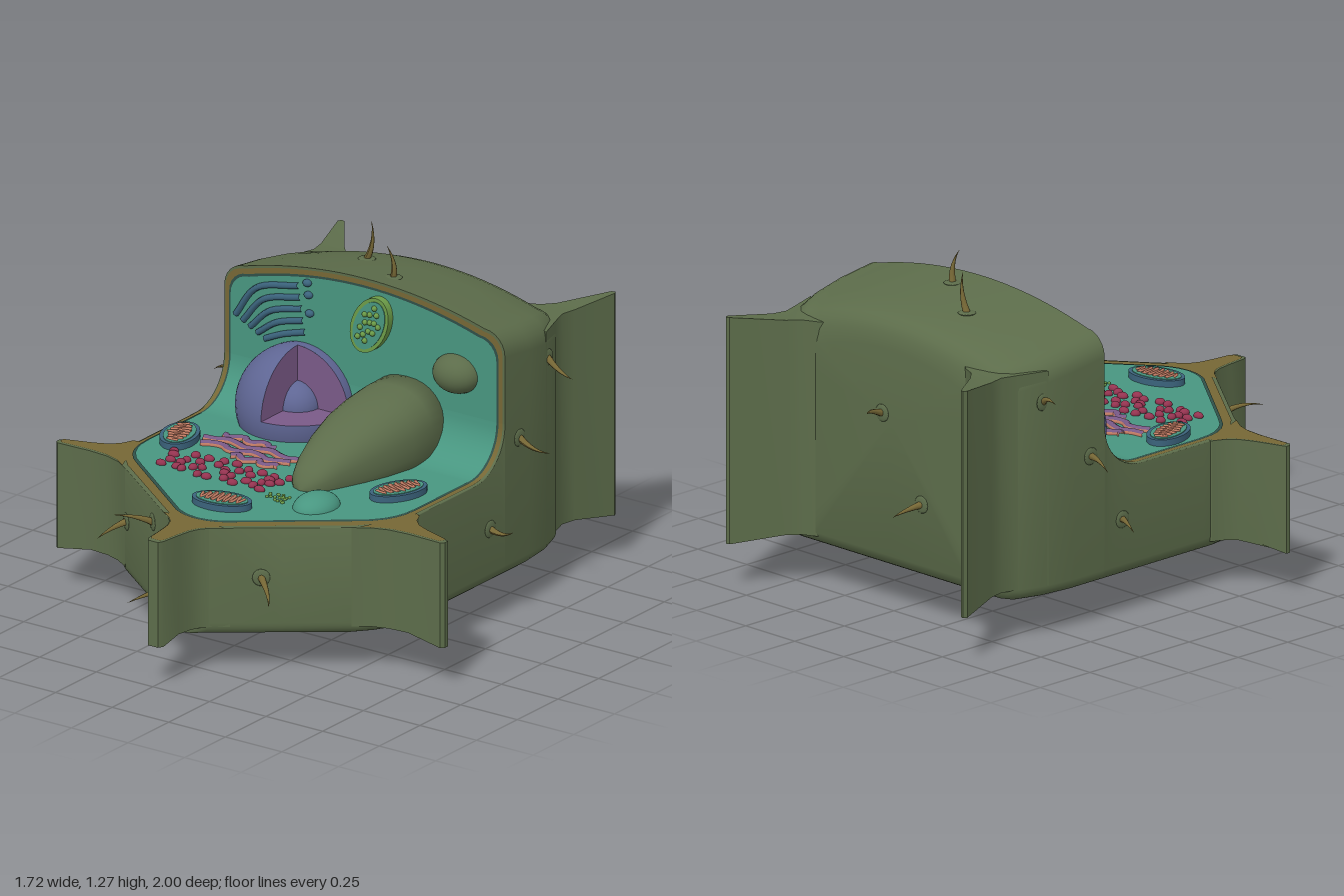
import * as THREE from 'three';
import { toCreasedNormals } from 'three/addons/utils/BufferGeometryUtils.js';

const mat = (name, color, side = THREE.FrontSide) => Object.assign(new THREE.MeshStandardMaterial({ color, side }), { name });
const V = (x, y, z) => new THREE.Vector3(x, y, z);

export function createModel() {
  const M = {
    wall: mat('wall green', 0x5c6c4a), section: mat('cut wall brown', 0x766735, THREE.DoubleSide),
    teal: mat('cytoplasm teal', 0x489680, THREE.DoubleSide), membrane: mat('membrane dark green', 0x2f4f48, THREE.DoubleSide),
    blue: mat('organelle blue', 0x3b637c), violet: mat('nucleus violet', 0x5f6694), purple: mat('purple', 0x7a5a88),
    red: mat('granule red', 0x943350), salmon: mat('fold salmon', 0xc07a62), leaf: mat('leaf green', 0x6c9c48),
  };
  const root = new THREE.Group();
  const add = (name, geo, m, parent = root) => {
    const mesh = new THREE.Mesh(geo, m);
    mesh.name = name;
    parent.add(mesh);
    return mesh;
  };

  // Skin over closed rings ordered by rising z, each counter-clockwise from the front
  const loft = (rings, crease) => {
    const n = rings[0].length, pos = [], idx = [];
    rings.forEach(r => r.forEach(p => pos.push(p.x, p.y, p.z)));
    for (let i = 0; i < rings.length - 1; i++) for (let j = 0; j < n; j++) {
      const a = i * n + j, b = i * n + (j + 1) % n;
      idx.push(a, b, b + n, a, b + n, a + n);
    }
    [0, rings.length - 1].forEach((k, end) => {
      const c = rings[k].reduce((s, p) => s.add(p), V(0, 0, 0)).divideScalar(n), ci = pos.length / 3;
      pos.push(c.x, c.y, c.z);
      for (let j = 0; j < n; j++) {
        const a = k * n + j, b = k * n + (j + 1) % n;
        idx.push(ci, ...(end ? [a, b] : [b, a]));
      }
    });
    const g = new THREE.BufferGeometry();
    g.setAttribute('position', new THREE.Float32BufferAttribute(pos, 3));
    g.setIndex(idx);
    g.computeVertexNormals();
    return crease ? toCreasedNormals(g, crease) : g;
  };

  // Symmetric body section: rounded base, straight sides, arched top
  const section = (z, w, yb, yt, drop, rTop, rBot = 0.045) => {
    const rb = Math.min(rBot, w * 0.5), rt = Math.min(rTop, w * 0.5), half = [V(0, yb, z)];
    const arch = x => yt - drop * (x / w) ** 2;
    for (let i = 0; i <= 6; i++) {
      const a = i / 6 * Math.PI / 2;
      half.push(V(w - rb + rb * Math.sin(a), yb + rb - rb * Math.cos(a), z));
    }
    for (let i = 0; i <= 6; i++) {
      const a = i / 6 * Math.PI / 2, x = w - rt + rt * Math.cos(a);
      half.push(V(x, arch(w - rt) - rt + rt * Math.sin(a), z));
    }
    for (let i = 1; i <= 10; i++) half.push(V((w - rt) * (1 - i / 10), arch((w - rt) * (1 - i / 10)), z));
    return [...half, ...half.slice(1, -1).reverse().map(p => V(-p.x, p.y, z))];
  };

  // Cut line in side view: a fillet from the back wall, then the level floor
  const fillet = off => Array.from({ length: 13 }, (_, i) => {
    const a = i / 12 * Math.PI / 2, r = 0.18 - off;
    return [-0.12 - r * Math.cos(a), 0.75 - r * Math.sin(a)];
  });
  const outer = [[0.2, 0.62], [0.26, 0.62], [0.32, 0.61], [0.36, 0.597], [0.4, 0.572], [0.46, 0.52], [0.62, 0.305],
    [0.78, 0.09], [0.8, 0.05], [0.81, 0.008]];
  const inner = [[0.2, 0.588], [0.26, 0.583], [0.3, 0.572], [0.34, 0.552], [0.38, 0.52], [0.42, 0.47], [0.7, 0.1],
    [0.715, 0.07], [0.725, 0.04], [0.73, 0.005]];

  // Cell body
  add('lowerCellWall', loft([...fillet(0).map(([z, y]) => section(z, 0.62, 0.16, y, 0, 0.003)),
    ...outer.map(([z, w]) => section(z, w, 0.16, 0.57, 0, 0.003))], 0.6), M.wall);
  const backRows = [[-0.765, 0.43, 0.22, 1.0], [-0.757, 0.48, 0.2, 1.05], [-0.74, 0.52, 0.18, 1.08], [-0.715, 0.55, 0.167, 1.1],
    [-0.68, 0.572, 0.16, 1.113], [-0.58, 0.605, 0.16, 1.13], [-0.45, 0.62, 0.16, 1.15], [-0.3, 0.62, 0.16, 1.17]];
  add('rearCellWall', loft(backRows.map(([z, w, yb, yt]) => section(z, w, yb, yt, 0.1, 0.09)), 0.7), M.wall);

  // Layered cut faces: brown wall, dark membrane, teal filling
  const sheet = rows => {
    const pos = [], idx = [];
    rows.forEach(([z, y, w], i) => {
      pos.push(-w, y, z, w, y, z);
      const a = i * 2;
      if (i) idx.push(a - 2, a, a + 1, a - 2, a + 1, a - 1);
    });
    const g = new THREE.BufferGeometry();
    g.setAttribute('position', new THREE.Float32BufferAttribute(pos, 3));
    g.setIndex(idx);
    g.computeVertexNormals();
    return g;
  };
  [['cutWall', M.section, 0.008, 0.003, outer.map(([z, w]) => [z - 0.012, Math.max(w - 0.01, 0.003)])],
    ['membrane', M.membrane, 0.025, 0.005, inner.map(([z, w]) => [z + 0.009, w + 0.007])],
    ['cytoplasm', M.teal, 0.033, 0.007, inner]].forEach(([name, m, d, off, rows]) => {
    add(name + 'Floor', sheet([...fillet(off).map(([z, y]) => [z, y, 0.62 - d]), ...rows.map(([z, w]) => [z, 0.57 + off, w])]), m);
    const ring = section(0, 0.62 - d, 0.74, 1.17 - d, 0.1, 0.08, 0.001);
    add(name + 'Back', new THREE.ShapeGeometry(new THREE.Shape(ring.map(p => new THREE.Vector2(p.x, p.y)))).translate(0, 0, -0.3 + off), m);
  });

  // Corner fins: plan outlines [x, z] drawn upright, bottoms dipping at the tips
  const plan = (pts, sx) => {
    const p = pts.map(([x, z]) => new THREE.Vector2(x * sx, -z));
    return new THREE.Shape(THREE.ShapeUtils.area(p) < 0 ? p.reverse() : p);
  };
  const fin = (name, pts, sx, y0, y1, tip, cut) => {
    const shape = plan(pts, sx);
    const g = new THREE.ExtrudeGeometry(shape, { depth: y1 - y0, bevelEnabled: false }).rotateX(-Math.PI / 2).translate(0, y0, 0);
    const p = g.attributes.position;
    for (let i = 0; i < p.count; i++) {
      const far = Math.hypot(p.getX(i) - tip[0] * sx, p.getZ(i) - tip[1]) < 0.06;
      if (p.getY(i) < y0 + 0.01 && !far) p.setY(i, y0 + 0.025);
      if (!cut && p.getY(i) > y1 - 0.01 && !far) p.setY(i, y1 - 0.02);
    }
    g.computeVertexNormals();
    add(name, toCreasedNormals(g, 0.6), M.wall);
    if (cut) {
      const c = new THREE.Vector2(tip[0] * sx, -tip[1]).multiplyScalar(0.85);
      const small = shape.getPoints().map(q => q.clone().sub(c).multiplyScalar(0.9).add(c));
      add(name + 'Cut', new THREE.ShapeGeometry(new THREE.Shape(small)).rotateX(-Math.PI / 2).translate(0, 0.573, 0), M.section);
    }
  };
  const frontHalf = [[0.15, 0.735], [0.1, 0.77], [0.07, 0.8], [0.052, 0.84], [0.042, 0.9], [0.033, 0.98], [0.022, 1]];
  fin('frontFin', [...frontHalf, ...frontHalf.map(([x, z]) => [-x, z]).reverse()], 1, 0.165, 0.57, [0, 1], true);
  const sideFin = [[0.5, 0.475], [0.56, 0.435], [0.62, 0.415], [0.7, 0.408], [0.845, 0.412], [0.858, 0.4], [0.858, 0.38],
    [0.74, 0.342], [0.68, 0.315], [0.645, 0.28], [0.625, 0.235], [0.6, 0.22]];
  const rearFin = [[0.607, -0.57], [0.57, -0.68], [0.548, -0.75], [0.56, -0.81], [0.612, -0.985], [0.605, -1], [0.59, -0.995],
    [0.47, -0.83], [0.43, -0.785], [0.38, -0.763], [0.35, -0.74]];
  [1, -1].forEach(s => {
    const side = s > 0 ? 'left' : 'right';
    fin(side + 'SideFin', sideFin, s, 0.165, 0.57, [0.855, 0.395], true);
    fin(side + 'RearFin', rearFin, s, 0.18, 1.035, [0.6, -0.99], false);
  });

  // Curved hairs, each with a low round socket: base, tip, surface normal
  const fl = [-0.6, 0, 0.8], fr = [0.6, 0, 0.8], up = [0, 1, 0], down = [0, -1, 0], back = [0, 0, -1], lx = [1, 0, 0], rx = [-1, 0, 0];
  [[[-0.17, 1.128, -0.55], [-0.15, 1.28, -0.55], up], [[0.055, 1.155, -0.4], [0.035, 1.28, -0.385], up],
    [[-0.155, 0.45, -0.765], [-0.125, 0.42, -0.88], back], [[0.045, 0.75, -0.765], [0.005, 0.78, -0.88], back],
    [[0.6, 0.91, -0.59], [0.74, 0.87, -0.55], lx], [[0.62, 0.67, -0.39], [0.755, 0.64, -0.39], lx], [[0.62, 0.375, -0.21], [0.73, 0.39, -0.2], lx],
    [[-0.6, 0.9, -0.59], [-0.69, 0.915, -0.615], rx], [[-0.62, 0.65, -0.37], [-0.74, 0.62, -0.4], rx], [[-0.62, 0.375, -0.21], [-0.73, 0.36, -0.26], rx],
    [[-0.49, 0.37, 0.482], [-0.565, 0.31, 0.56], fl], [[-0.24, 0.485, 0.668], [-0.345, 0.52, 0.77], fl], [[-0.13, 0.275, 0.75], [-0.22, 0.235, 0.855], fl],
    [[0.24, 0.38, 0.668], [0.345, 0.32, 0.77], fr],
    [[-0.3, 0.16, -0.38], [-0.325, 0.05, -0.4], down], [[-0.19, 0.16, 0.145], [-0.205, 0.045, 0.14], down],
    [[0.07, 0.16, -0.1], [0.05, 0.01, -0.085], down], [[0.44, 0.16, -0.21], [0.41, 0.01, -0.21], down]].forEach(([b, t, n]) => {
    const base = V(...b), dir = V(...t).sub(base), len = dir.length();
    const g = new THREE.ConeGeometry(0.014, len, 8, 6).translate(0, len / 2, 0), p = g.attributes.position;
    for (let i = 0; i < p.count; i++) {
      const u = p.getY(i) / len;
      p.setX(i, p.getX(i) + 0.06 * u * (1 - u));
    }
    g.computeVertexNormals();
    const hair = add('hair', g, M.section);
    hair.position.copy(base);
    hair.quaternion.setFromUnitVectors(V(0, 1, 0), dir.normalize());
    const socket = add('hairSocket', new THREE.SphereGeometry(0.033, 16, 8).scale(1, 0.2, 1), M.wall);
    socket.position.copy(base);
    socket.quaternion.setFromUnitVectors(V(0, 1, 0), V(...n).normalize());
  });

  // Nucleus with one octant removed and its core showing
  const nucleus = new THREE.Group();
  nucleus.name = 'nucleus';
  nucleus.position.set(-0.26, 0.645, -0.25);
  root.add(nucleus);
  const R = 0.225, H = Math.PI / 2;
  add('nucleusUpper', new THREE.SphereGeometry(R, 36, 14, Math.PI, 3 * H, 0, H), M.violet, nucleus);
  add('nucleusLower', new THREE.SphereGeometry(R, 36, 14, 0, 4 * H, H, H), M.violet, nucleus);
  add('nucleusCutBack', new THREE.CircleGeometry(R, 16, 0, H), M.purple, nucleus);
  add('nucleusCutFloor', new THREE.CircleGeometry(R, 16, -H, H).rotateX(-H), M.purple, nucleus);
  add('nucleusCutSide', new THREE.CircleGeometry(R, 16, H, H).rotateY(H), M.purple, nucleus);
  add('nucleusCore', new THREE.SphereGeometry(0.09, 24, 16), M.violet, nucleus);

  // Large vacuole: z, centre x, centre y, half width, half height
  add('vacuole', loft([[0.302, 0.15, 0.575, 0.006, 0.006], [0.29, 0.15, 0.58, 0.04, 0.035], [0.26, 0.152, 0.59, 0.07, 0.06], [0.2, 0.155, 0.605, 0.098, 0.088],
    [0.1, 0.165, 0.625, 0.132, 0.125], [0, 0.178, 0.645, 0.157, 0.15], [-0.1, 0.19, 0.66, 0.172, 0.162], [-0.2, 0.195, 0.67, 0.175, 0.167],
    [-0.33, 0.19, 0.67, 0.165, 0.17]].reverse().map(([z, cx, cy, a, b]) => Array.from({ length: 32 }, (_, i) => {
    const t = i / 16 * Math.PI, c = Math.cos(t), s = Math.sin(t), q = 0.85;
    return V(cx + a * Math.sign(c) * Math.abs(c) ** q, cy + b * Math.sign(s) * Math.abs(s) ** q, z);
  }))), M.wall);
  const ball = (name, m, p, r) => add(name, new THREE.SphereGeometry(1, 28, 18).scale(...r), m).position.set(...p);
  ball('roundBody', M.wall, [0.41, 0.9, -0.3], [0.095, 0.074, 0.08]);
  ball('smallVacuole', M.teal, [0.28, 0.57, 0.385], [0.08, 0.057, 0.1]);

  // Flattened tube along points
  const cord = (name, pts, r, m, parent = root) =>
    add(name, new THREE.TubeGeometry(new THREE.CatmullRomCurve3(pts), pts.length * 6, r, 7), m, parent);

  // Oval organelles: rim disc with an inner plate, contents on top
  const oval = (name, a, b, rim, p, rot) => {
    const g = new THREE.Group();
    g.name = name;
    g.position.set(...p);
    g.rotation.set(...rot);
    root.add(g);
    add(name + 'Rim', new THREE.CylinderGeometry(1, 1, 0.034, 36).scale(a, 1, b).translate(0, 0.013, 0), rim, g);
    add(name + 'Lining', new THREE.CylinderGeometry(1, 1, 0.003, 36).scale(a - 0.014, 1, b - 0.014).translate(0, 0.0315, 0), M.teal, g);
    return g;
  };
  [[-0.5, 0.14, -1.2], [0.455, 0.125, 1.2], [0, 0.575, 0.17]].forEach(([x, z, ang]) => {
    const g = oval('mitochondrion', 0.115, 0.07, M.blue, [x, 0.571, z], [0, ang, 0]);
    const fold = Array.from({ length: 15 }, (_, i) => {
      const u = (i - 7) / 7.6;
      return V(u * 0.09, 0.033, (i % 2 ? 1 : -1) * 0.042 * Math.sqrt(1 - u * u));
    });
    cord('innerFold', fold, 0.006, M.salmon, g);
  });
  const plastid = oval('chloroplast', 0.118, 0.074, M.leaf, [0.045, 1.01, -0.294], [H, 1.1, 0]);
  for (let i = 0; i < 14; i++) {
    const t = i * 2.4, r = Math.sqrt((i + 0.5) / 14);
    add('granum', new THREE.SphereGeometry(0.011, 10, 8).translate(0.08 * r * Math.cos(t), 0.034, 0.042 * r * Math.sin(t)), M.leaf, plastid);
  }

  // Stacked curved bands and their droplets on the back wall
  const mix = (a, b, t) => a + (b - a) * t;
  for (let i = 0; i < 5; i++) {
    const t = i / 4;
    cord('stackedBand', [V(mix(-0.56, -0.43, t), mix(0.91, 0.845, t), -0.286), V(mix(-0.47, -0.35, t), mix(1.03, 0.88, t), -0.286),
      V(mix(-0.28, -0.25, t), mix(1.082, 0.91, t), -0.286)], 0.012, M.blue);
  }
  [[-0.24, 1.055], [-0.245, 1.1], [-0.235, 0.985]].forEach(([x, y]) => ball('droplet', M.blue, [x, y, -0.288], [0.018, 0.014, 0.014]));

  // Wavy folded membranes in front of the nucleus
  [[-0.38, -0.15, 0.025], [-0.43, -0.01, 0.075], [-0.41, -0.03, 0.125], [-0.25, -0.04, 0.175]].forEach(([x0, x1, z], k) => {
    const path = y => Array.from({ length: 10 }, (_, i) => V(mix(x0, x1, i / 9), y, z + 0.014 * Math.sin(i * 1.7 + k)));
    cord('foldedMembrane', path(0.582), 0.014, M.purple);
    cord('foldedMembraneBase', path(0.576), 0.0165, M.salmon);
  });

  // Scattered granules
  let seed = 7;
  const rnd = () => (seed = (seed * 16807) % 2147483647) / 2147483647;
  for (let i = 0; i < 36; i++) {
    const x = -0.42 + (i % 9) * 0.058 + (rnd() - 0.5) * 0.04, z = 0.245 + Math.floor(i / 9) * 0.045 + (rnd() - 0.5) * 0.03;
    ball('redGranule', M.red, [x, 0.582, z], [0.015 + 0.008 * rnd(), 0.014, 0.014 + 0.005 * rnd()]);
  }
  for (let i = 0; i < 20; i++) ball('tinyGranule', M.leaf, [0.06 + 0.11 * rnd(), 0.579, 0.37 + 0.07 * rnd()], [0.006, 0.006, 0.006]);
  return root;
}
